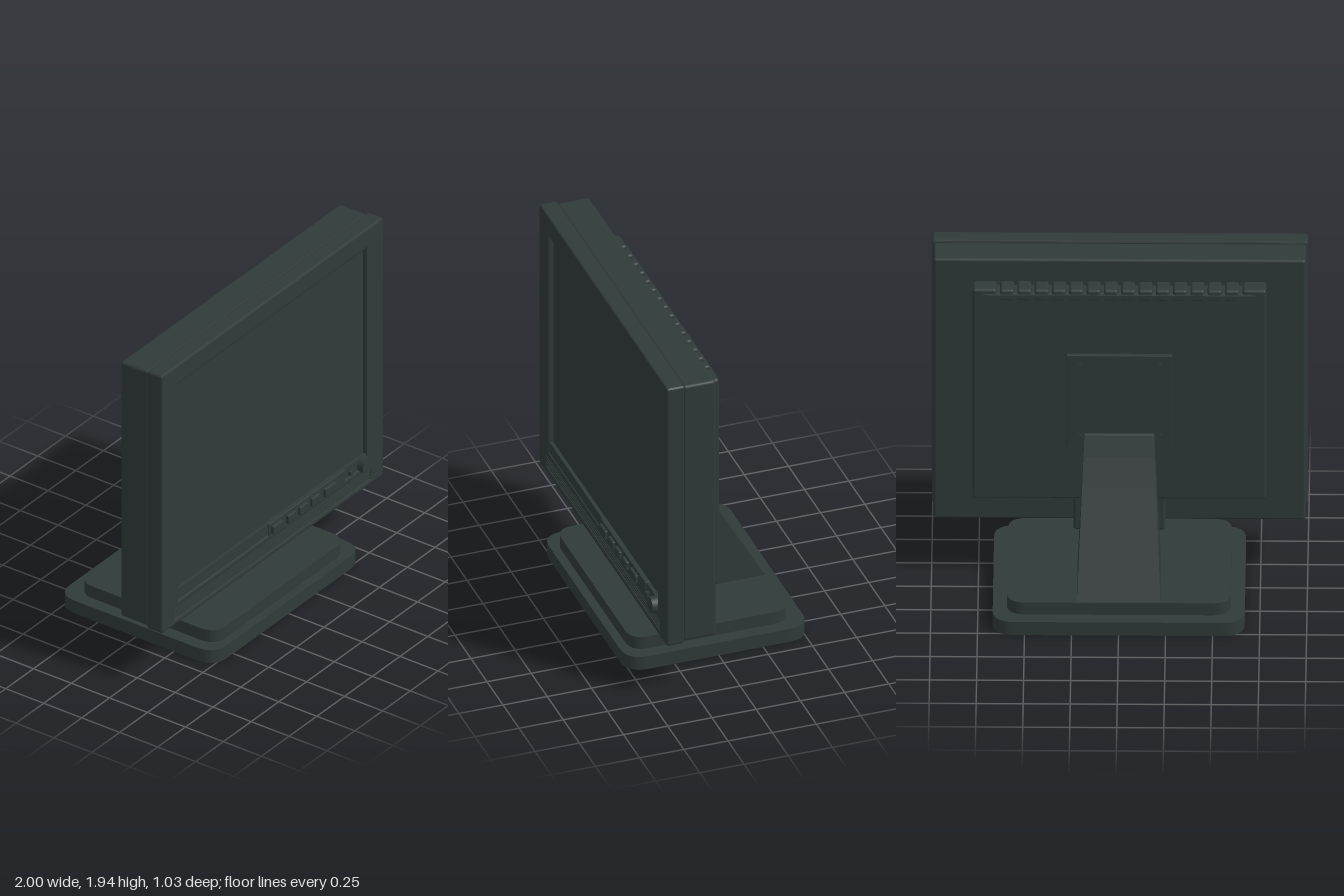
import * as THREE from 'three';
import { RoundedBoxGeometry } from 'three/addons/geometries/RoundedBoxGeometry.js';

const plastic = new THREE.MeshStandardMaterial({ color: 0x303a39 });
plastic.name = 'dark grey plastic';

export function createModel() {
  const model = new THREE.Group();
  model.name = 'desktopMonitor';

  const add = (name, geometry, x = 0, y = 0, z = 0) => {
    const mesh = new THREE.Mesh(geometry, plastic);
    mesh.name = name;
    mesh.position.set(x, y, z);
    model.add(mesh);
    return mesh;
  };
  // Boxes given by their extents; r rounds the edges
  const box = (name, x0, x1, y0, y1, z0, z1, r = 0) => {
    const size = [x1 - x0, y1 - y0, z1 - z0];
    const geo = r ? new RoundedBoxGeometry(...size, 2, r) : new THREE.BoxGeometry(...size);
    return add(name, geo, (x0 + x1) / 2, (y0 + y1) / 2, (z0 + z1) / 2);
  };
  const roundRect = (x0, x1, y0, y1, r, T = THREE.Shape) => {
    const s = new T();
    s.moveTo(x0 + r, y0);
    s.lineTo(x1 - r, y0);
    s.quadraticCurveTo(x1, y0, x1, y0 + r);
    s.lineTo(x1, y1 - r);
    s.quadraticCurveTo(x1, y1, x1 - r, y1);
    s.lineTo(x0 + r, y1);
    s.quadraticCurveTo(x0, y1, x0, y1 - r);
    s.lineTo(x0, y0 + r);
    s.quadraticCurveTo(x0, y0, x0 + r, y0);
    return s;
  };

  // Two-tier base
  const slab = (name, w, zBack, zFront, y, h, r) => {
    const geo = new THREE.ExtrudeGeometry(roundRect(-w, w, -zFront, -zBack, r),
      { depth: h, bevelEnabled: false, curveSegments: 10 });
    geo.rotateX(-Math.PI / 2);
    add(name, geo, 0, y, 0);
  };
  slab('baseLower', 0.67, -0.517, 0.517, 0, 0.08, 0.12);
  slab('baseUpper', 0.594, -0.435, 0.468, 0.08, 0.073, 0.1);

  // Slanted neck, narrowing towards the top
  const neck = new THREE.Shape([
    [-0.02, 0.15], [0.06, 0.38], [0.06, 0.9], [0.012, 0.935], [0.005, 0.925],
    [-0.045, 0.82], [-0.12, 0.68], [-0.425, 0.15],
  ].map(([z, y]) => new THREE.Vector2(z, y)));
  const neckGeo = new THREE.ExtrudeGeometry(neck, { depth: 2, bevelEnabled: false });
  neckGeo.translate(0, 0, -1).rotateY(-Math.PI / 2);
  const p = neckGeo.attributes.position;
  for (let i = 0; i < p.count; i++) {
    p.setX(i, p.getX(i) * (0.222 - (p.getY(i) - 0.15) * 0.047));
  }
  neckGeo.computeVertexNormals();
  add('neck', neckGeo);

  // Hinge barrel and its bracket below the case
  add('hingeBarrel', new THREE.CylinderGeometry(0.1, 0.1, 0.488, 32).rotateZ(Math.PI / 2), 0, 0.345, 0.235);
  box('hingeBracket', -0.245, 0.245, 0.315, 0.53, 0.06, 0.16, 0.015);

  // Front frame with screen and grille openings
  const b = 0.01;
  const frame = roundRect(-1 + b, 1 - b, 0.33 + b, 1.94 - b, 0.008);
  frame.holes.push(
    roundRect(-0.85 - b, 0.85 + b, 0.468 - b, 1.822 + b, 0.006, THREE.Path),
    roundRect(-0.886 - b, 0.882 + b, 0.353, 0.447, 0.006, THREE.Path),
  );
  const frameGeo = new THREE.ExtrudeGeometry(frame, {
    depth: 0.1 - 2 * b, bevelSize: b, bevelThickness: b, bevelSegments: 2, curveSegments: 3,
  });
  add('frontFrame', frameGeo, 0, 0, 0.313 + b);
  box('screen', -0.87, 0.87, 0.45, 1.84, 0.32, 0.385);
  box('screenTopLip', -0.852, 0.852, 1.812, 1.824, 0.38, 0.398);

  // Speaker grille
  box('grilleBack', -0.9, 0.9, 0.342, 0.462, 0.32, 0.392);
  for (let i = 0; i < 6; i++) {
    const y = 0.352 + i * 0.018;
    box('grilleSlat', -0.886, 0.882, y, y + 0.011, 0.39, 0.408);
  }

  // Chin bar, control panel and buttons
  box('chinBar', -0.85, 0.85, 0.468, 0.533, 0.38, 0.405);
  box('controlPanel', -0.035, 0.655, 0.456, 0.535, 0.38, 0.413, 0.004);
  for (const [x0, x1] of [[-0.015, 0.075], [0.12, 0.19], [0.225, 0.295], [0.335, 0.405], [0.455, 0.55]]) {
    box('button', x0, x1, 0.466, 0.516, 0.4, 0.43, 0.005);
  }
  box('indicator', 0.69, 0.712, 0.48, 0.503, 0.4, 0.424);
  add('powerButton', new THREE.CylinderGeometry(0.046, 0.046, 0.05, 28).rotateX(Math.PI / 2), 0.815, 0.493, 0.418);

  // Rear case and stepped back panel
  box('rearCase', -0.99, 0.99, 0.34, 1.93, 0.132, 0.316, 0.015);
  box('backPanel', -0.78, 0.78, 0.52, 1.775, 0.037, 0.15, 0.012);

  // Row of vent ribs along the top of the back panel
  const ribs = 14, pitch = 0.092;
  for (let i = 0; i < ribs; i++) {
    const x = (i - (ribs - 1) / 2) * pitch;
    box('ventRib', x - 0.037, x + 0.037, 1.73, 1.797, 0.034, 0.15, 0.014);
  }
  for (const s of [-1, 1]) {
    const mesh = box('ventEnd', 0.655, 0.78, 1.73, 1.798, 0.037, 0.15, 0.014);
    mesh.position.x *= s;
  }
  box('ventLip', -0.725, 0.725, 1.756, 1.772, 0.024, 0.06);

  // Mounting plate with four screws
  box('mountPlate', -0.28, 0.28, 0.86, 1.41, 0.013, 0.05, 0.004);
  for (const x of [-0.215, 0.215]) {
    for (const y of [0.92, 1.35]) {
      add('mountScrew', new THREE.CylinderGeometry(0.014, 0.014, 0.016, 14).rotateX(Math.PI / 2), x, y, 0.014);
    }
  }
  return model;
}
